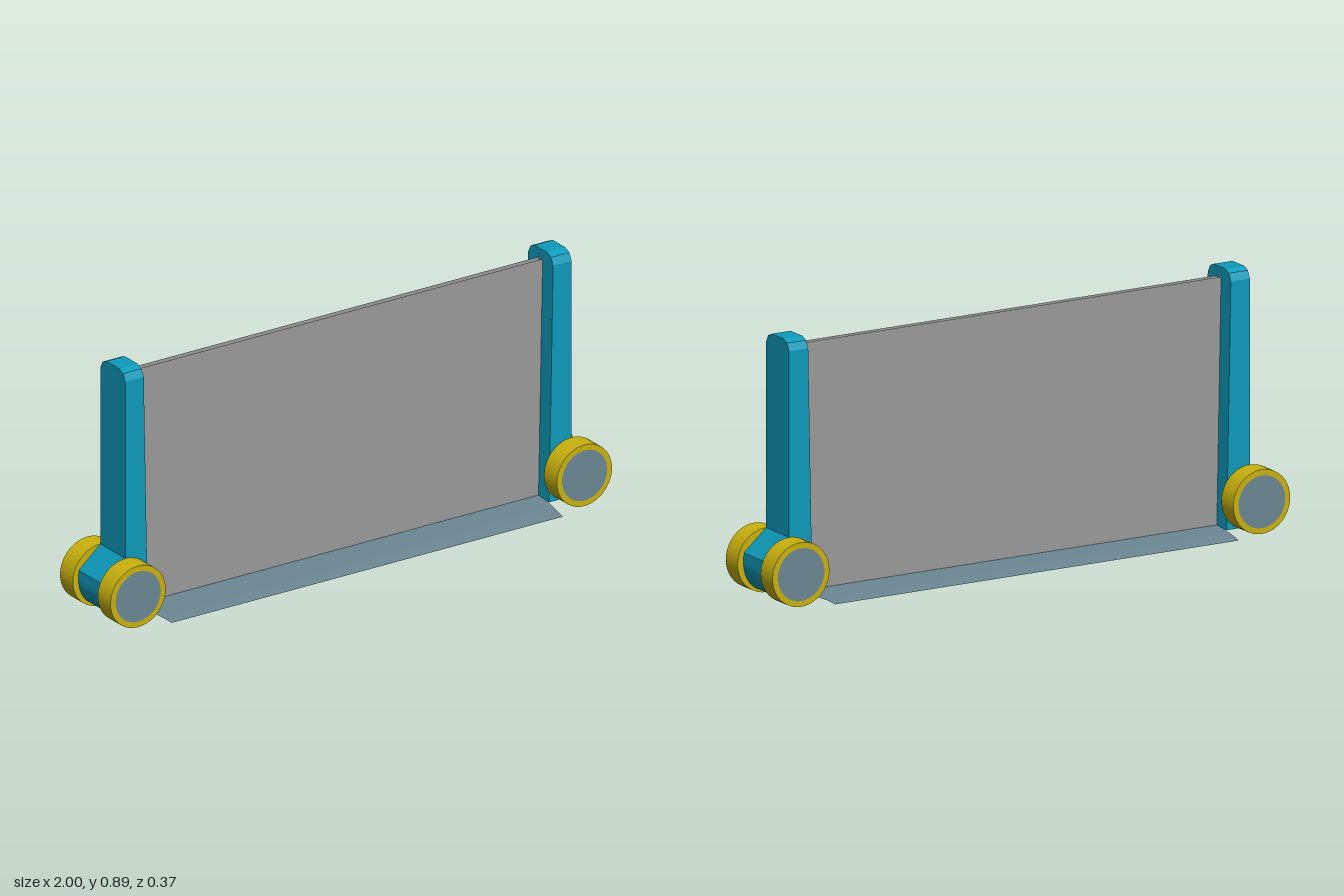
import * as THREE from 'three';

const mat = (color, side = THREE.FrontSide) =>
  new THREE.MeshStandardMaterial({ color, side });
const teal = mat(0x0d9abb);
const yellow = mat(0xc9b20f);
const slate = mat(0x6b8793, THREE.DoubleSide);
const grey = mat(0x9a9a9a, THREE.DoubleSide);

const WHEEL_R = 0.11, AXLE_X = 0.89, HALF_Z = 0.073;

function add(parent, name, geometry, material) {
  const mesh = new THREE.Mesh(geometry, material);
  mesh.name = name;
  parent.add(mesh);
  return mesh;
}

const shapeOf = (points) => new THREE.Shape(points.map(([x, y]) => new THREE.Vector2(x, y)));

// Upright with clipped top corners; its inner face leans slightly
function postGeometry() {
  const half = [[HALF_Z, 0.008], [HALF_Z, 0.855], [0.06, 0.88], [0.037, 0.89]];
  const outline = [...half, ...half.map(([z, y]) => [-z, y]).reverse()];
  const geo = new THREE.ExtrudeGeometry(shapeOf(outline), { depth: 1, bevelEnabled: false });
  geo.rotateY(Math.PI / 2);
  const p = geo.attributes.position;
  for (let i = 0; i < p.count; i++) {
    const inner = 0.8 + 0.017 * p.getY(i) / 0.89;
    p.setX(i, p.getX(i) < 0.5 ? inner : AXLE_X);
  }
  geo.computeVertexNormals();
  return geo;
}

// Axle bracket: sloping top, rounded outer underside
function bracketGeometry() {
  const s = shapeOf([[0.83, 0.008], [AXLE_X, 0.008]]);
  s.absellipse(AXLE_X, WHEEL_R, 0.087, 0.102, -Math.PI / 2, 0, false, 0);
  s.lineTo(0.976, 0.146);
  s.lineTo(AXLE_X, 0.22);
  s.lineTo(0.83, 0.22);
  s.closePath();
  const geo = new THREE.ExtrudeGeometry(s, { depth: 2 * HALF_Z, bevelEnabled: false, curveSegments: 10 });
  return geo.translate(0, 0, -HALF_Z);
}

// Wheel: yellow tyre with a flat hub disc on its outer face
function makeWheel(side) {
  const wheel = new THREE.Group();
  wheel.name = side > 0 ? 'frontWheel' : 'backWheel';
  const width = 0.075;
  const tyre = new THREE.CylinderGeometry(WHEEL_R, WHEEL_R, width, 40).rotateX(Math.PI / 2);
  add(wheel, 'tyre', tyre, yellow);
  const hub = add(wheel, 'hub', new THREE.CircleGeometry(0.09, 40), slate);
  hub.position.z = width / 2 + 0.001;
  wheel.position.set(AXLE_X, WHEEL_R, side * (HALF_Z + width / 2));
  if (side < 0) wheel.rotation.y = Math.PI;
  return wheel;
}

// Strip lofted across x from [z, y, halfWidth] sections
function sheetGeometry(sections) {
  const verts = [], index = [];
  sections.forEach(([z, y, w], i) => {
    verts.push(-w, y, z, w, y, z);
    if (i) {
      const a = 2 * (i - 1);
      index.push(a, a + 1, a + 3, a, a + 3, a + 2);
    }
  });
  const geo = new THREE.BufferGeometry();
  geo.setAttribute('position', new THREE.Float32BufferAttribute(verts, 3));
  geo.setIndex(index);
  geo.computeVertexNormals();
  return geo;
}

export function createModel() {
  const model = new THREE.Group();
  model.name = 'rollingBarrier';

  // End frames, the second turned half way round
  for (const [name, turn] of [['leftEnd', 0], ['rightEnd', Math.PI]]) {
    const end = new THREE.Group();
    end.name = name;
    add(end, 'post', postGeometry(), teal);
    add(end, 'axleBracket', bracketGeometry(), teal);
    end.add(makeWheel(1), makeWheel(-1));
    end.rotation.y = turn;
    model.add(end);
  }

  // Twin thin panel sheets, open at the top
  for (const side of [1, -1]) {
    const z = side * 0.011;
    const rows = [[z, 0.012, 0.802], [z, 0.857, 0.818]];
    add(model, side > 0 ? 'frontPanel' : 'backPanel', sheetGeometry(side > 0 ? rows : rows.reverse()), grey);
  }

  // Low floor flaps spreading from the foot of the panel
  const flap = [[0.183, 0.001, 0.78], [0.145, 0.006, 0.785], [0.073, 0.009, 0.797], [0.011, 0.012, 0.8]];
  const floor = [...flap, ...flap.map(([z, y, w]) => [-z, y, w]).reverse()];
  add(model, 'floorFlaps', sheetGeometry(floor), slate);

  return model;
}
